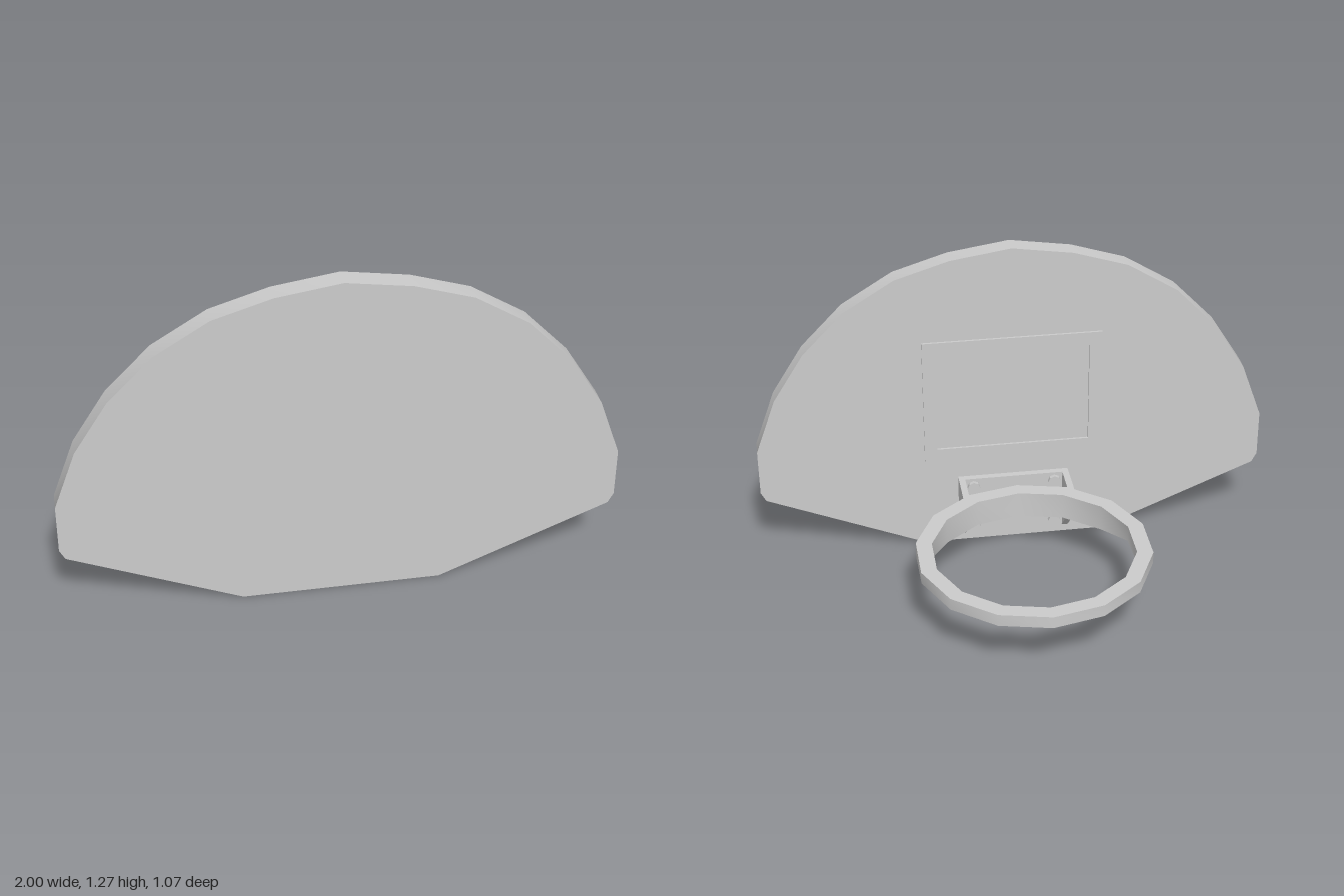
import * as THREE from 'three';
import { toCreasedNormals } from 'three/addons/utils/BufferGeometryUtils.js';

const material = new THREE.MeshStandardMaterial({ color: 0xcccccc });
const CREASE = 0.5;

function add(parent, name, geometry, x = 0, y = 0, z = 0) {
  const mesh = new THREE.Mesh(geometry, material);
  mesh.name = name;
  mesh.position.set(x, y, z);
  parent.add(mesh);
  return mesh;
}

const shapeOf = (points) => new THREE.Shape(points.map(([x, y]) => new THREE.Vector2(x, y)));
const extrude = (shape, depth) => new THREE.ExtrudeGeometry(shape, { depth, bevelEnabled: false });
const rectangle = (w, h) => [[-w, -h], [w, -h], [w, h], [-w, h]];

// Rim: 14-sided loop whose lower edge drops deeper towards the bracket
function rimGeometry() {
  const sides = 14, outer = 0.446, inner = 0.385, top = 0.297;
  const bottoms = [0.192, 0.192, 0.192, 0.233, 0.25, 0.25, 0.25, 0.25];
  const positions = [], index = [];
  for (let k = 0; k < sides; k++) {
    const t = (k / sides) * Math.PI * 2;
    const bottom = bottoms[Math.min(k, sides - k)];
    for (const [r, y] of [[outer, top], [outer, bottom], [inner, bottom], [inner, top]]) {
      positions.push(r * Math.sin(t), y, -0.088 + r * Math.cos(t));
    }
    const a = k * 4, b = ((k + 1) % sides) * 4;
    for (let j = 0; j < 4; j++) {
      const n = (j + 1) % 4;
      index.push(a + j, a + n, b + n, a + j, b + n, b + j);
    }
  }
  const geometry = new THREE.BufferGeometry();
  geometry.setAttribute('position', new THREE.Float32BufferAttribute(positions, 3));
  geometry.setIndex(index);
  return toCreasedNormals(geometry, CREASE);
}

export function createModel() {
  const model = new THREE.Group();
  model.name = 'basketballHoop';

  // Fan-shaped backboard, mirrored from its right half
  const half = [
    [0.36, 0], [0.98, 0.257], [1, 0.295], [1, 0.48], [0.92, 0.7],
    [0.8, 0.89], [0.64, 1.055], [0.445, 1.175], [0.235, 1.24],
  ];
  const mirrored = half.map(([x, y]) => [-x, y]).reverse();
  const outline = shapeOf([...half, [0, 1.275], ...mirrored]);
  add(model, 'backboard', toCreasedNormals(extrude(outline, 0.077), CREASE), 0, 0, 0.456);

  // Raised target frame on the playing side
  const frame = shapeOf(rectangle(0.35, 0.26));
  frame.holes.push(shapeOf(rectangle(0.3, 0.21)));
  add(model, 'targetFrame', extrude(frame, 0.012), 0, 0.645, 0.447);

  // Bracket: back plate, two gusset plates and four bolts
  const bracket = new THREE.Group();
  bracket.name = 'bracket';
  model.add(bracket);
  add(bracket, 'mountingPlate', new THREE.BoxGeometry(0.4, 0.252, 0.027), 0, 0.171, 0.4435);

  const gusset = shapeOf([
    [0.457, 0.045], [0.432, 0.045], [0.283, 0.192], [0.297, 0.192], [0.297, 0.297], [0.457, 0.297],
  ].map(([z, y]) => [z === 0.297 ? 0.288 : z, y]));
  for (const [name, x] of [['leftGusset', 0.22], ['rightGusset', -0.195]]) {
    add(bracket, name, extrude(gusset, 0.025).rotateY(-Math.PI / 2), x);
  }

  const bolt = toCreasedNormals(new THREE.CylinderGeometry(0.025, 0.025, 0.02, 8).rotateX(Math.PI / 2), CREASE);
  for (const x of [-0.162, 0.162]) {
    for (const y of [0.078, 0.262]) add(bracket, 'bolt', bolt, x, y, 0.425);
  }

  add(model, 'rim', rimGeometry());
  return model;
}
